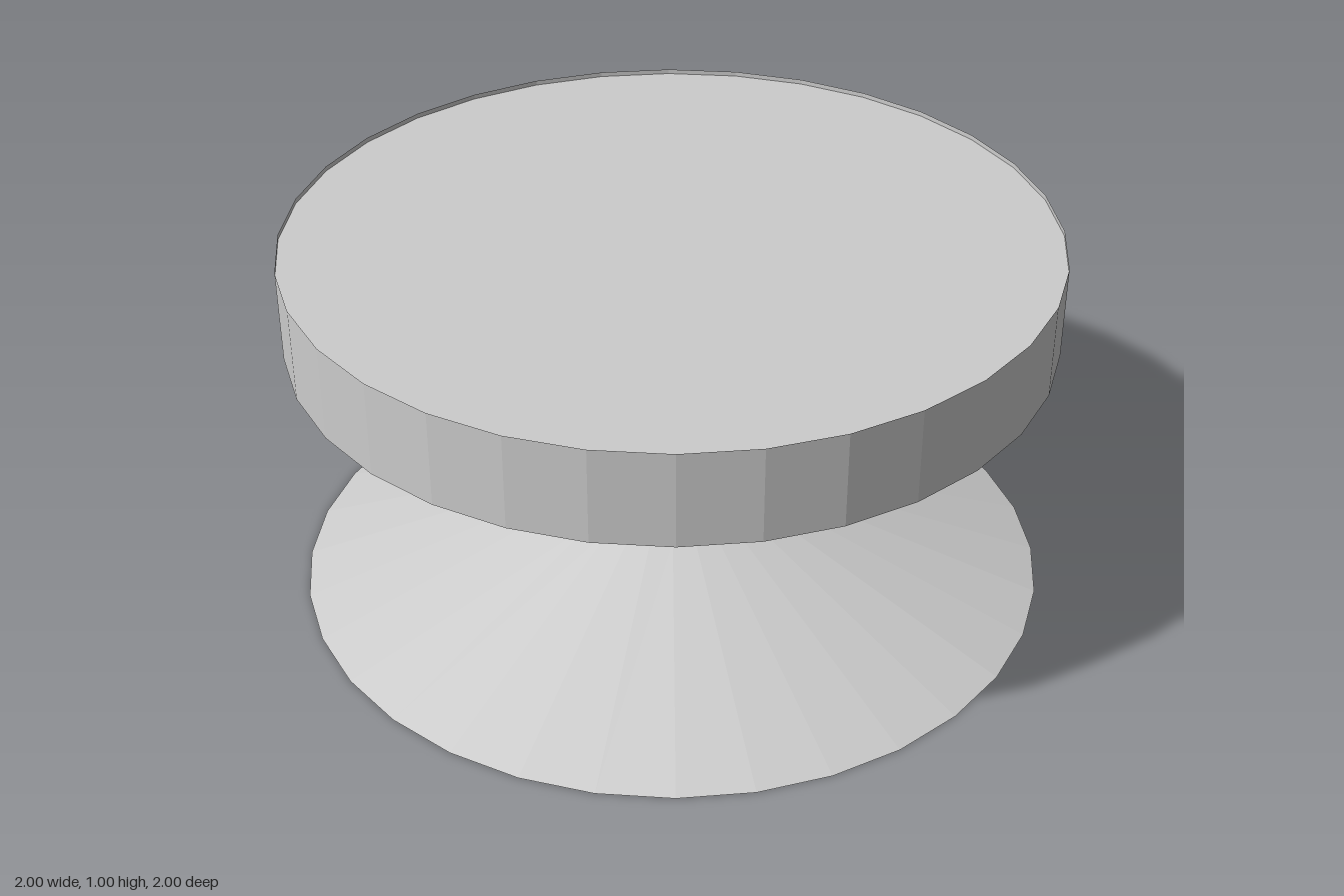
import * as THREE from 'three';

const SIDES = 32;

export function createModel() {
  const group = new THREE.Group();
  const solid = new THREE.MeshStandardMaterial({ color: 0xcccccc, flatShading: true });
  const thin = solid.clone();
  thin.side = THREE.DoubleSide;

  const add = (name, geometry, material, y = 0) => {
    const mesh = new THREE.Mesh(geometry, material);
    mesh.name = name;
    mesh.position.y = y;
    group.add(mesh);
    return mesh;
  };

  // Faceted ring between two radii, listed from bottom to top
  const band = (name, r0, y0, r1, y1, material = solid) =>
    add(name, new THREE.CylinderGeometry(r1, r0, y1 - y0, SIDES, 1, true), material, (y0 + y1) / 2);

  // Flat disc facing up or down, with its corners lined up with the bands
  const disc = (name, radius, y, up) => {
    const geometry = new THREE.CircleGeometry(radius, SIDES);
    geometry.rotateX(up ? -Math.PI / 2 : Math.PI / 2);
    return add(name, geometry, solid, y);
  };

  // Wide foot tapering up to the neck
  disc('footBottom', 1, 0, false);
  band('foot', 1, 0, 0.295, 0.25);

  // Flared stem and the shallow underside of the top
  band('stem', 0.295, 0.25, 0.71, 0.7);
  band('topUnderside', 0.71, 0.7, 1, 0.75);

  // Thin rim standing slightly above the top surface
  band('topRim', 1, 0.75, 1, 1, thin);
  disc('topSurface', 1, 0.987, true);

  return group;
}
